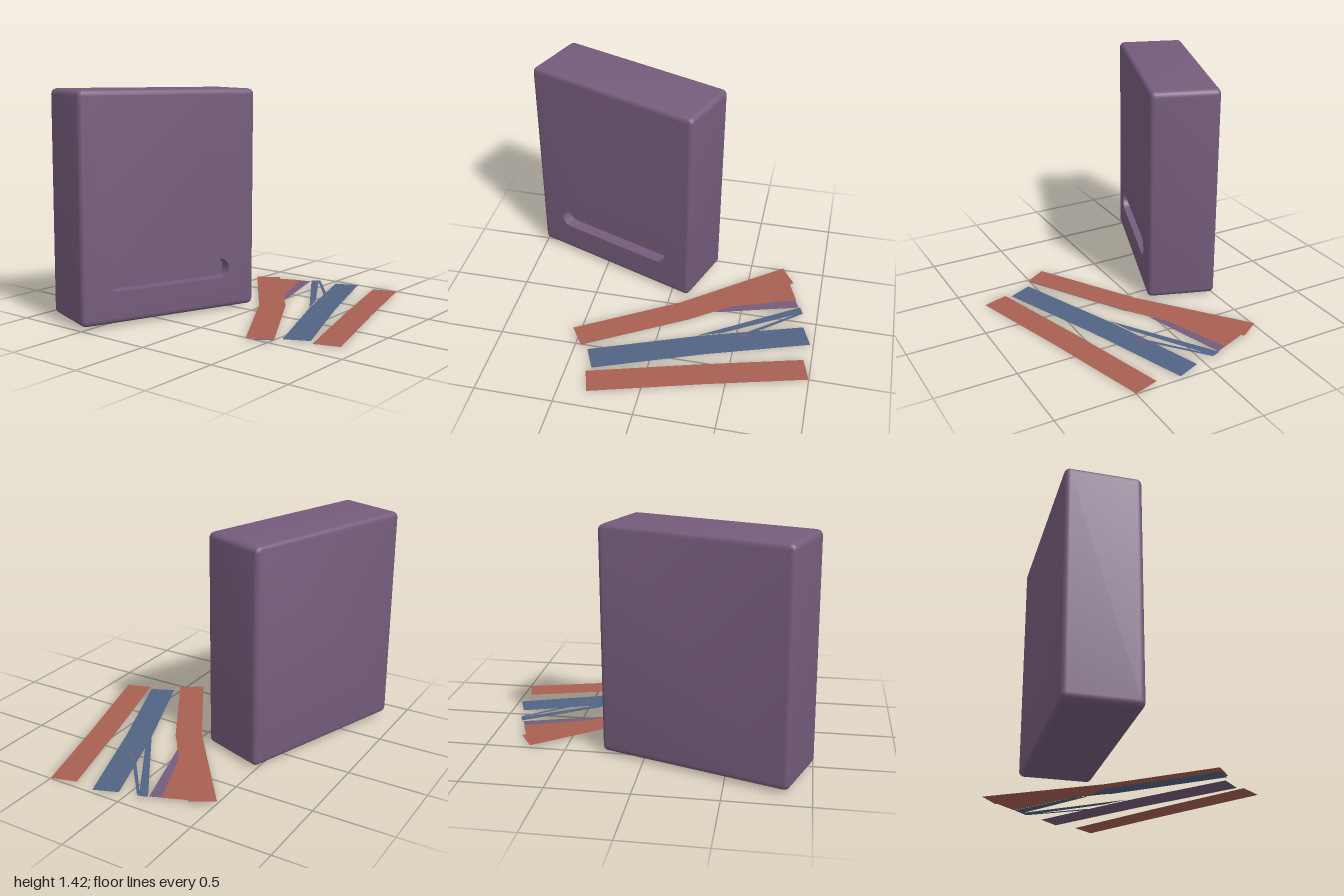
import * as THREE from 'three';
import { mergeGeometries, toCreasedNormals } from 'three/addons/utils/BufferGeometryUtils.js';

const material = (name, color) => {
  const m = new THREE.MeshStandardMaterial({ color });
  m.name = name;
  return m;
};

// Counter-clockwise outline of a rounded rectangle
function roundedRect(w, h, r, steps, cx = 0, cy = 0) {
  const points = [];
  const signs = [[1, 1], [-1, 1], [-1, -1], [1, -1]];
  signs.forEach(([sx, sy], corner) => {
    for (let k = 0; k <= steps; k++) {
      const a = (corner + k / steps) * Math.PI / 2;
      points.push(new THREE.Vector2(
        cx + sx * (w / 2 - r) + r * Math.cos(a),
        cy + sy * (h / 2 - r) + r * Math.sin(a)));
    }
  });
  return points;
}

// Skin over a list of { points, z } rings
function skin(rings) {
  const n = rings[0].points.length;
  const positions = [], index = [];
  rings.forEach(({ points, z }) => points.forEach(p => positions.push(p.x, p.y, z)));
  for (let j = 0; j < rings.length - 1; j++) {
    for (let i = 0; i < n; i++) {
      const a = j * n + i, b = j * n + (i + 1) % n;
      index.push(a, b, b + n, a, b + n, a + n);
    }
  }
  const g = new THREE.BufferGeometry();
  g.setAttribute('position', new THREE.Float32BufferAttribute(positions, 3));
  g.setIndex(index);
  return g.toNonIndexed();
}

// Flat face on an outline, reduced to bare positions
function face(points, z, hole) {
  const shape = new THREE.Shape(points);
  if (hole) shape.holes.push(new THREE.Path(hole));
  const g = new THREE.ShapeGeometry(shape).toNonIndexed().translate(0, 0, z);
  g.deleteAttribute('uv');
  g.deleteAttribute('normal');
  return g;
}

// Soft-edged case with a recessed slot in the front
function caseGeometry() {
  const W = 1.2, H = 1.4, D = 0.44, bevel = 0.03, slotDepth = 0.08;
  const ring = inset => roundedRect(W - 2 * inset, H - 2 * inset, 0.036 - inset, 5);
  const rings = [];
  for (const side of [-1, 1]) {
    for (let k = 0; k <= 5; k++) {
      const a = (side < 0 ? 5 - k : k) / 5 * Math.PI / 2;
      rings.push({
        points: ring(bevel * (1 - Math.cos(a))),
        z: side * (D / 2 - bevel + bevel * Math.sin(a)),
      });
    }
  }
  const slot = roundedRect(0.84, 0.125, 0.062, 6, -0.01, -0.44);
  const edge = ring(bevel);
  return toCreasedNormals(mergeGeometries([
    skin(rings),
    face(edge, D / 2, slot),
    face(edge, D / 2).rotateY(Math.PI),
    skin([{ points: slot, z: D / 2 }, { points: slot, z: D / 2 - slotDepth }]),
    face(slot, D / 2 - slotDepth),
  ]), 0.6);
}

// Paper-thin strip from [x, z] corners, with its own colour on each side
function strip(name, corners, y, topMaterial, undersideMaterial) {
  const group = new THREE.Group();
  group.name = name;
  const outline = sign => new THREE.Shape(corners.map(([x, z]) => new THREE.Vector2(x, sign * z)));
  const top = new THREE.Mesh(new THREE.ShapeGeometry(outline(-1)).rotateX(-Math.PI / 2), topMaterial);
  top.name = name + 'Top';
  top.position.y = y;
  const underside = new THREE.Mesh(new THREE.ShapeGeometry(outline(1)).rotateX(Math.PI / 2), undersideMaterial);
  underside.name = name + 'Underside';
  underside.position.y = y - 0.002;
  group.add(top, underside);
  return group;
}

export function createModel() {
  const purple = material('dustyPurple', 0x755c7c);
  const red = material('brickRed', 0xa85f52);
  const blue = material('slateBlue', 0x526484);

  const model = new THREE.Group();
  model.name = 'caseWithStrips';

  // Upright case, turned and leaning very slightly
  const body = new THREE.Mesh(caseGeometry(), purple);
  body.name = 'case';
  body.position.set(-0.365, 0.725, -0.485);
  body.rotation.set(0, -0.34, -0.01);
  model.add(body);

  // Loose strips fanned out on the ground
  model.add(
    strip('frontStrip', [[-0.37, 0.72], [0.3, 0.52], [0.95, 0.34], [1, 0.5], [0.35, 0.68], [-0.32, 0.88]], 0.01, red, red),
    strip('middleStrip', [[-0.41, 0.54], [0.27, 0.27], [0.92, 0.05], [0.98, 0.2], [0.32, 0.43], [-0.34, 0.69]], 0.014, blue, purple),
    strip('bentStrip', [[-0.55, 0.38], [0.08, 0], [0.72, -0.5], [0.81, -0.36], [0.18, 0.14], [-0.46, 0.52]], 0.024, red, red),
    // Folded layers beside and beneath the bent strip
    strip('foldedCorner', [[0.72, -0.46], [0.79, -0.34], [0.845, -0.2], [0.42, -0.04], [0.2, 0.12], [0.15, 0.05]], 0.018, red, red),
    strip('foldedStrip', [[0.84, -0.2], [0.87, -0.13], [0.32, 0.035], [0.4, -0.035]], 0.016, purple, blue),
    strip('lowerLayer', [[-0.52, 0.42], [0.12, 0.04], [0.3, 0.02], [0.18, 0.13], [-0.46, 0.51]], 0.014, purple, blue),
    // Narrow slivers between the strips
    strip('wideSliver', [[0.25, 0.28], [0.88, -0.13], [0.9, -0.08], [0.41, 0.22]], 0.02, blue, blue),
    strip('narrowSliver', [[0.905, -0.07], [0.89, -0.08], [0.56, 0.185], [0.58, 0.2]], 0.022, blue, blue),
    strip('sliverTip', [[0.56, 0.185], [0.5, 0.275], [0.58, 0.2]], 0.022, purple, blue),
  );
  return model;
}
